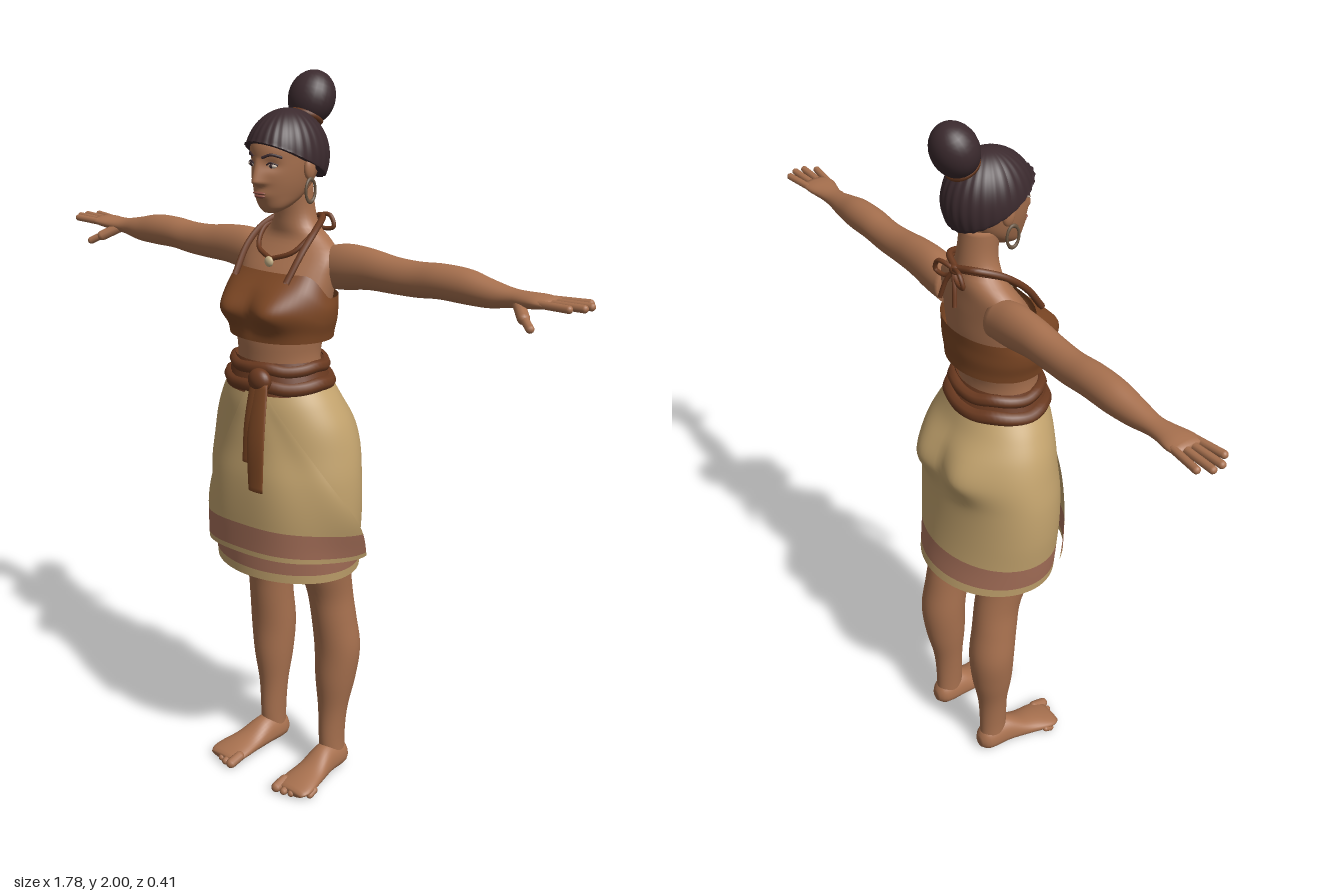
import * as THREE from 'three';

const { sin, cos, PI, exp, min, max } = Math;
const mat = (name, color, side = THREE.FrontSide) => {
  const m = new THREE.MeshStandardMaterial({ color, side });
  m.name = name;
  return m;
};
const V = (x, y, z) => new THREE.Vector3(x, y, z);
const bell = (d, s) => exp(-(d * d) / (2 * s * s));

// Smooth interpolation of section rows [y, cx, cz, rx, rFront, rBack]
function sample(keys, y) {
  let i = 0;
  while (i < keys.length - 2 && y > keys[i + 1][0]) i++;
  const a = keys[i], b = keys[i + 1], h = b[0] - a[0], t = (y - a[0]) / h;
  const slope = (k, c) => {
    const p = keys[max(k - 1, 0)], q = keys[min(k + 1, keys.length - 1)];
    return (q[c] - p[c]) / (q[0] - p[0]);
  };
  return a.map((_, c) => c === 0 ? y :
    (2 * t ** 3 - 3 * t * t + 1) * a[c] + (t ** 3 - 2 * t * t + t) * h * slope(i, c) +
    (3 * t * t - 2 * t ** 3) * b[c] + (t ** 3 - t * t) * h * slope(i + 1, c));
}

// Point on the lofted surface at an angle (0 = front, PI/2 = +x)
function onSurface(keys, ang, y, off = 0) {
  const [, cx, cz, rx, rf, rb] = sample(keys, y);
  return V(cx + (rx + off) * sin(ang), y, cz + ((cos(ang) > 0 ? rf : rb) + off) * cos(ang));
}

// Closed skin through elliptical cross-sections
function loft(keys, { n = 32, m = 24, from = keys[0][0], to = keys[keys.length - 1][0], caps = true, deform } = {}) {
  const pos = [], idx = [];
  for (let i = 0; i <= m; i++) for (let j = 0; j < n; j++) {
    const ang = j / n * 2 * PI, p = onSurface(keys, ang, from + (to - from) * i / m);
    if (deform) deform(p, ang);
    pos.push(p.x, p.y, p.z);
    if (i < m) {
      const a = i * n + j, b = i * n + (j + 1) % n;
      idx.push(a, b, a + n, b, b + n, a + n);
    }
  }
  if (caps) {
    for (const [y, row] of [[from, 0], [to, m]]) {
      const s = sample(keys, y), c = pos.length / 3;
      pos.push(s[1], y, s[2]);
      for (let j = 0; j < n; j++) {
        const a = row * n + j, b = row * n + (j + 1) % n;
        row ? idx.push(a, b, c) : idx.push(b, a, c);
      }
    }
  }
  const g = new THREE.BufferGeometry();
  g.setAttribute('position', new THREE.Float32BufferAttribute(pos, 3));
  g.setIndex(idx);
  g.computeVertexNormals();
  return g;
}

const ball = (x, y, z, rx, ry, rz) => new THREE.SphereGeometry(1, 24, 16).scale(rx, ry, rz).translate(x, y, z);
const tube = (pts, r, closed = false, seg = 32) =>
  new THREE.TubeGeometry(new THREE.CatmullRomCurve3(pts.map(p => V(...p)), closed), seg, r, 8, closed);
function capsule(a, b, r) {
  const d = V(...b).sub(V(...a)), len = d.length();
  const q = new THREE.Quaternion().setFromUnitVectors(V(0, 1, 0), d.normalize());
  return new THREE.CapsuleGeometry(r, len, 6, 10).translate(0, len / 2, 0).applyQuaternion(q).translate(...a);
}
const hoop = (y, cz, rx, rz, r) => tube(Array.from({ length: 16 }, (_, i) =>
  [rx * sin(i * PI / 8), y + 0.004 * sin(i * 2), cz + rz * cos(i * PI / 8)]), r, true, 64);

export function createModel() {
  const skin = mat('skin', 0xa8714f), hair = mat('hair', 0x3b2a2e), lip = mat('lips', 0x8a4f42);
  const top = mat('topCloth', 0x7d4724, THREE.DoubleSide), rope = mat('ropeBrown', 0x6b3a20, THREE.DoubleSide);
  const tan = mat('skirtTan', 0xc4a46e, THREE.DoubleSide), stripe = mat('hemStripe', 0xa8715a, THREE.DoubleSide);
  const white = mat('eyeWhite', 0xd8c8b8), bone = mat('pendant', 0xc9b48a), metal = mat('earring', 0x6a5642);
  const model = new THREE.Group();
  const add = (name, geo, material, parent = model) => {
    const mesh = new THREE.Mesh(geo, material);
    mesh.name = name;
    parent.add(mesh);
    return mesh;
  };

  // Torso and neck
  add('torso', loft([
    [1.15, 0, 0.01, 0.13, 0.1, 0.1], [1.28, 0, 0.01, 0.122, 0.1, 0.09], [1.33, 0, 0.01, 0.128, 0.1, 0.1],
    [1.42, 0, 0, 0.145, 0.1, 0.11], [1.5, 0, -0.02, 0.152, 0.078, 0.092], [1.55, 0, -0.04, 0.15, 0.062, 0.07],
    [1.585, 0, -0.05, 0.108, 0.05, 0.06], [1.61, 0, -0.05, 0.072, 0.05, 0.056], [1.65, 0, -0.05, 0.056, 0.05, 0.05],
    [1.72, 0, -0.04, 0.054, 0.05, 0.05]], { m: 48 }), skin);

  // Head with sockets, nose and lips shaped into the face
  add('head', loft([
    [1.655, 0, 0.045, 0.018, 0.015, 0.03], [1.67, 0, 0.03, 0.04, 0.042, 0.05], [1.7, 0, 0, 0.058, 0.083, 0.06],
    [1.74, 0, -0.01, 0.07, 0.1, 0.09], [1.79, 0, -0.02, 0.078, 0.112, 0.1], [1.83, 0, -0.02, 0.078, 0.109, 0.1],
    [1.87, 0, -0.02, 0.06, 0.084, 0.084], [1.892, 0, -0.02, 0.028, 0.04, 0.04]], {
    n: 96, m: 56, deform: (p, a) => {
      if (cos(a) < 0.2) return;
      const ridge = p.y > 1.737 ? max(0, 1 - (p.y - 1.737) / 0.06) : bell(p.y - 1.737, 0.006);
      p.z += 0.022 * ridge * bell(p.x, 0.009 + 0.004 * ridge) + 0.006 * bell(p.y - 1.704, 0.009) * bell(p.x, 0.02);
      p.z -= 0.008 * bell(Math.abs(p.x) - 0.034, 0.013) * bell(p.y - 1.779, 0.011);
    } }), skin);
  add('upperLip', ball(0, 1.708, 0.087, 0.021, 0.004, 0.008), lip);
  add('lowerLip', ball(0, 1.7, 0.085, 0.018, 0.005, 0.008), lip);

  // Hair cap cut along a sloping hairline, with combed ridges
  const cap = new THREE.SphereGeometry(1, 120, 48), cp = cap.attributes.position;
  for (let i = 0; i < cp.count; i++) {
    const x = cp.getX(i), z = cp.getZ(i), k = 1 + 0.012 * cos(26 * Math.atan2(x, z)) * min(1, Math.hypot(x, z) * 1.5);
    const pz = -0.018 + 0.121 * z * k;
    cp.setXYZ(i, 0.098 * x * k, max(1.79 + 0.122 * cp.getY(i), 1.787 + 0.5 * pz), pz);
  }
  cap.computeVertexNormals();
  add('hairCap', cap, hair);
  const bun = add('bun', ball(0, 0, 0, 0.064, 0.071, 0.059), hair);
  bun.position.set(0, 1.931, -0.112);
  bun.rotation.x = -0.4;
  const tie = add('bunTie', new THREE.TorusGeometry(0.037, 0.01, 8, 32).rotateX(PI / 2 - 0.5), rope);
  tie.position.set(0, 1.885, -0.09);

  // Bandeau top, high at the front and low at the back
  add('bandeau', loft([
    [1.33, 0, 0, 0.15, 0.125, 0.118], [1.36, 0, 0, 0.154, 0.122, 0.118], [1.41, 0, 0, 0.163, 0.128, 0.12],
    [1.46, 0, 0, 0.166, 0.108, 0.12], [1.505, 0, -0.01, 0.16, 0.08, 0.112]], {
    n: 72, m: 32, caps: false, deform: (p, a) => {
      if (cos(a) > 0) p.z += 0.038 * bell(Math.abs(p.x) - 0.078, 0.042) * bell(p.y - 1.41, 0.036);
      const t = max(0, min(1, cos(a) / 0.7));
      p.y = 1.33 + (p.y - 1.33) * (0.65 + 0.35 * t * t * (3 - 2 * t));
    } }), top);

  // Wrapped underskirt: hem, stripe and body share one profile
  const skirt = [
    [0.67, 0, -0.02, 0.215, 0.172, 0.185], [0.75, 0, -0.02, 0.226, 0.174, 0.17], [0.85, 0, -0.02, 0.237, 0.176, 0.158],
    [0.95, 0, -0.02, 0.237, 0.174, 0.152], [1.03, 0, -0.02, 0.226, 0.166, 0.152], [1.1, 0, -0.01, 0.208, 0.152, 0.147],
    [1.16, 0, 0, 0.18, 0.14, 0.132], [1.21, 0, 0.01, 0.15, 0.122, 0.125]];
  const seat = (p, a) => {
    if (cos(a) < 0) p.z -= 0.032 * bell(Math.abs(p.x) - 0.085, 0.05) * bell(p.y - 1.04, p.y < 1.04 ? 0.04 : 0.06);
  };
  for (const [name, from, to, m] of [['skirtHem', 0.67, 0.695, tan], ['skirtStripe', 0.695, 0.765, stripe], ['skirtBody', 0.765, 1.21, tan]])
    add(name, loft(skirt, { n: 80, m: m === tan && to > 1 ? 48 : 6, from, to, caps: false, deform: seat }), m);

  // Overlapping flap: diagonal front edge, free end standing off at the left hip
  const flap = (from, to) => {
    const g = new THREE.PlaneGeometry(1, 1, 48, 24), q = g.attributes.position;
    for (let i = 0; i < q.count; i++) {
      const u = q.getX(i) + 0.5, y = from + (to - from) * (q.getY(i) + 0.5), h = (y - 0.73) / 0.48;
      const a = THREE.MathUtils.lerp(-1.0 + h, 1.85 - 1.5 * h, u);
      const p = onSurface(skirt, a, y, 0.005 + 0.012 * (1 - h) + 0.026 * u * u * bell(y - 0.88, 0.1) + 0.004 * (1 - h) * sin(u * 14));
      q.setXYZ(i, p.x, p.y + 0.02 * sin(u * PI) * (1 - h), p.z);
    }
    g.computeVertexNormals();
    return g;
  };
  add('flapHem', flap(0.722, 0.737), tan);
  add('flapStripe', flap(0.737, 0.812), stripe);
  add('flapBody', flap(0.812, 1.21), tan);

  // Sash: band, rope coils, knot and hanging tails
  add('waistBand', loft([[1.19, 0, 0.01, 0.156, 0.13, 0.13], [1.23, 0, 0.01, 0.142, 0.122, 0.115], [1.275, 0, 0.01, 0.128, 0.108, 0.1]], { caps: false }), rope);
  add('lowerCoil', hoop(1.21, 0.01, 0.142, 0.116, 0.02), rope);
  add('upperCoil', hoop(1.255, 0.01, 0.127, 0.108, 0.017), rope);
  add('sashKnot', ball(0.05, 1.235, 0.142, 0.036, 0.032, 0.024), rope);
  add('longTail', loft([[0.95, 0.086, 0.198, 0.025, 0.005, 0.005], [1.08, 0.076, 0.186, 0.03, 0.006, 0.006], [1.23, 0.06, 0.15, 0.026, 0.008, 0.008]]), top);
  add('shortTail', loft([[1.02, 0.05, 0.188, 0.02, 0.004, 0.004], [1.12, 0.048, 0.176, 0.022, 0.005, 0.005], [1.23, 0.045, 0.15, 0.02, 0.008, 0.008]]), top);

  // Necklace pendant and nape knot
  add('pendant', ball(0, 1.527, 0.052, 0.014, 0.014, 0.008), bone);
  add('napeKnot', ball(0, 1.618, -0.118, 0.016, 0.014, 0.013), rope);

  // Everything that is mirrored left and right
  for (const side of [1, -1]) {
    const half = new THREE.Group();
    half.name = side > 0 ? 'leftSide' : 'rightSide';
    half.scale.x = side;
    model.add(half);
    const put = (name, geo, m) => add(name, geo, m, half);

    // Arm, fingers and thumb
    put('arm', loft([
      [0.1, -1.51, -0.06, 0.055, 0.045, 0.045], [0.17, -1.52, -0.06, 0.06, 0.047, 0.047], [0.25, -1.525, -0.06, 0.053, 0.044, 0.044],
      [0.33, -1.521, -0.06, 0.047, 0.041, 0.041], [0.4, -1.521, -0.062, 0.045, 0.04, 0.04], [0.47, -1.527, -0.062, 0.044, 0.042, 0.042],
      [0.55, -1.526, -0.062, 0.043, 0.041, 0.041], [0.62, -1.52, -0.06, 0.034, 0.034, 0.034], [0.68, -1.52, -0.06, 0.023, 0.027, 0.027],
      [0.72, -1.522, -0.058, 0.02, 0.033, 0.033], [0.76, -1.525, -0.058, 0.017, 0.043, 0.043], [0.795, -1.526, -0.058, 0.011, 0.042, 0.042]],
      { m: 48 }).rotateZ(-PI / 2), skin);
    [[-0.09, -0.102, 0.86], [-0.069, -0.074, 0.88], [-0.047, -0.046, 0.878], [-0.026, -0.018, 0.855]].forEach(([z0, z1, x]) =>
      put('finger', capsule([0.775, 1.526, z0], [x, 1.529, z1], 0.0098), skin));
    put('thumbBase', capsule([0.705, 1.513, -0.045], [0.742, 1.49, -0.012], 0.015), skin);
    put('thumb', capsule([0.74, 1.492, -0.013], [0.772, 1.474, 0.006], 0.0105), skin);

    // Leg, foot and toes
    put('leg', loft([
      [0.03, 0.118, -0.09, 0.034, 0.04, 0.042], [0.1, 0.117, -0.088, 0.034, 0.043, 0.042], [0.2, 0.118, -0.09, 0.042, 0.045, 0.045],
      [0.3, 0.122, -0.095, 0.057, 0.06, 0.06], [0.4, 0.125, -0.098, 0.066, 0.066, 0.066], [0.5, 0.121, -0.085, 0.063, 0.066, 0.066],
      [0.58, 0.117, -0.072, 0.062, 0.068, 0.068], [0.68, 0.118, -0.045, 0.07, 0.08, 0.08], [0.85, 0.115, -0.03, 0.09, 0.1, 0.1],
      [1, 0.105, -0.02, 0.09, 0.1, 0.1]], { m: 48 }), skin);
    put('foot', loft([
      [-0.138, 0.118, -0.036, 0.018, 0.022, 0.02], [-0.12, 0.118, -0.035, 0.035, 0.034, 0.045], [-0.05, 0.12, -0.034, 0.041, 0.033, 0.055],
      [0.02, 0.128, -0.028, 0.049, 0.028, 0.028], [0.07, 0.133, -0.023, 0.056, 0.022, 0.02], [0.1, 0.135, -0.02, 0.055, 0.018, 0.014],
      [0.118, 0.135, -0.018, 0.045, 0.012, 0.009]]).rotateX(PI / 2), skin);
    for (let i = 0; i < 5; i++) {
      const r = i ? 0.0115 - i * 0.0005 : 0.015, x = 0.092 + i * 0.0225 + (i ? 0.003 : 0);
      put('toe', capsule([x, r + 0.008, 0.09 - i * 0.006], [x, r, 0.125 - i * i * 0.0025], r), skin);
    }

    // Eye, brow, ear and earring
    put('eyeWhite', ball(0.034, 1.778, 0.074, 0.0145, 0.006, 0.007), white);
    put('iris', ball(0.034, 1.778, 0.0785, 0.0058, 0.0058, 0.004), hair);
    put('upperLash', tube([[0.019, 1.779, 0.082], [0.033, 1.786, 0.081], [0.05, 1.78, 0.07]], 0.0022), hair);
    put('brow', tube([[0.014, 1.798, 0.092], [0.035, 1.806, 0.081], [0.056, 1.799, 0.061]], 0.0035), hair);
    put('ear', ball(0.08, 1.768, -0.015, 0.012, 0.03, 0.018).rotateY(0), skin);
    put('earring', new THREE.TorusGeometry(0.018, 0.0035, 8, 24).scale(1, 1.6, 1).rotateY(PI / 2).translate(0.09, 1.713, -0.008), metal);

    // Halter strap, necklace cord and nape bow
    put('halterStrap', tube([[0, 1.622, -0.115], [0.055, 1.632, -0.095], [0.088, 1.608, -0.03], [0.096, 1.56, 0.03], [0.09, 1.487, 0.085]], 0.009), rope);
    put('necklaceCord', tube([[0, 1.615, -0.112], [0.06, 1.622, -0.085], [0.083, 1.6, -0.025], [0.06, 1.555, 0.026], [0, 1.533, 0.046]], 0.0065), rope);
    put('bowLoop', tube([[0, 1.618, -0.122], [0.045, 1.63, -0.135], [0.06, 1.6, -0.135], [0.025, 1.595, -0.128]], 0.006, true), rope);
    put('bowTail', tube([[0, 1.615, -0.122], [0.018, 1.585, -0.132], [0.032, 1.535, -0.142]], 0.006), rope);
  }
  return model;
}
